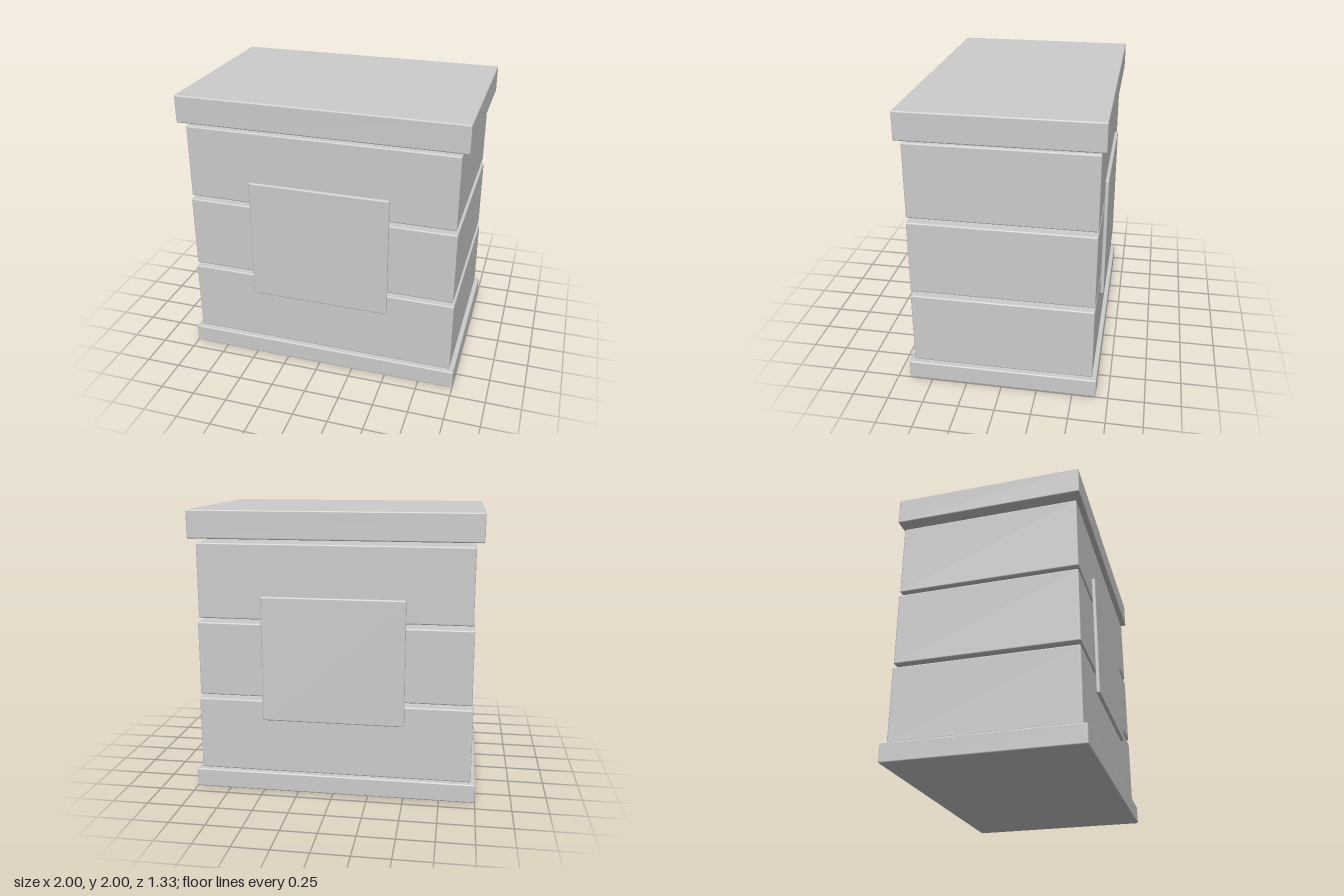
import * as THREE from 'three';
import { RoundedBoxGeometry } from 'three/addons/geometries/RoundedBoxGeometry.js';

export function createModel() {
  const model = new THREE.Group();
  model.name = 'layeredBlock';
  const grey = new THREE.MeshStandardMaterial({ color: 0xcccccc });
  grey.name = 'lightGrey';

  // Softly rounded block spanning y0 to y1
  function addBlock(name, width, y0, y1, depth, z = 0) {
    const geometry = new RoundedBoxGeometry(width, y1 - y0, depth, 2, 0.01);
    const mesh = new THREE.Mesh(geometry, grey);
    mesh.name = name;
    mesh.position.set(0, (y0 + y1) / 2, z);
    model.add(mesh);
  }

  // Base and lid slabs
  addBlock('baseSlab', 2, 0, 0.135, 1.33);
  addBlock('topSlab', 2, 1.805, 2, 1.33);

  // Three tiers, slightly narrower towards the top, with open gaps between
  addBlock('lowerTier', 1.936, 0.138, 0.665, 1.266);
  addBlock('middleTier', 1.918, 0.695, 1.22, 1.266);
  addBlock('upperTier', 1.898, 1.25, 1.775, 1.266);

  // Square plaques on front and back
  for (const side of [1, -1]) {
    addBlock(side > 0 ? 'frontPlaque' : 'backPlaque', 1, 0.528, 1.416, 0.027, side * 0.6465);
  }
  return model;
}
